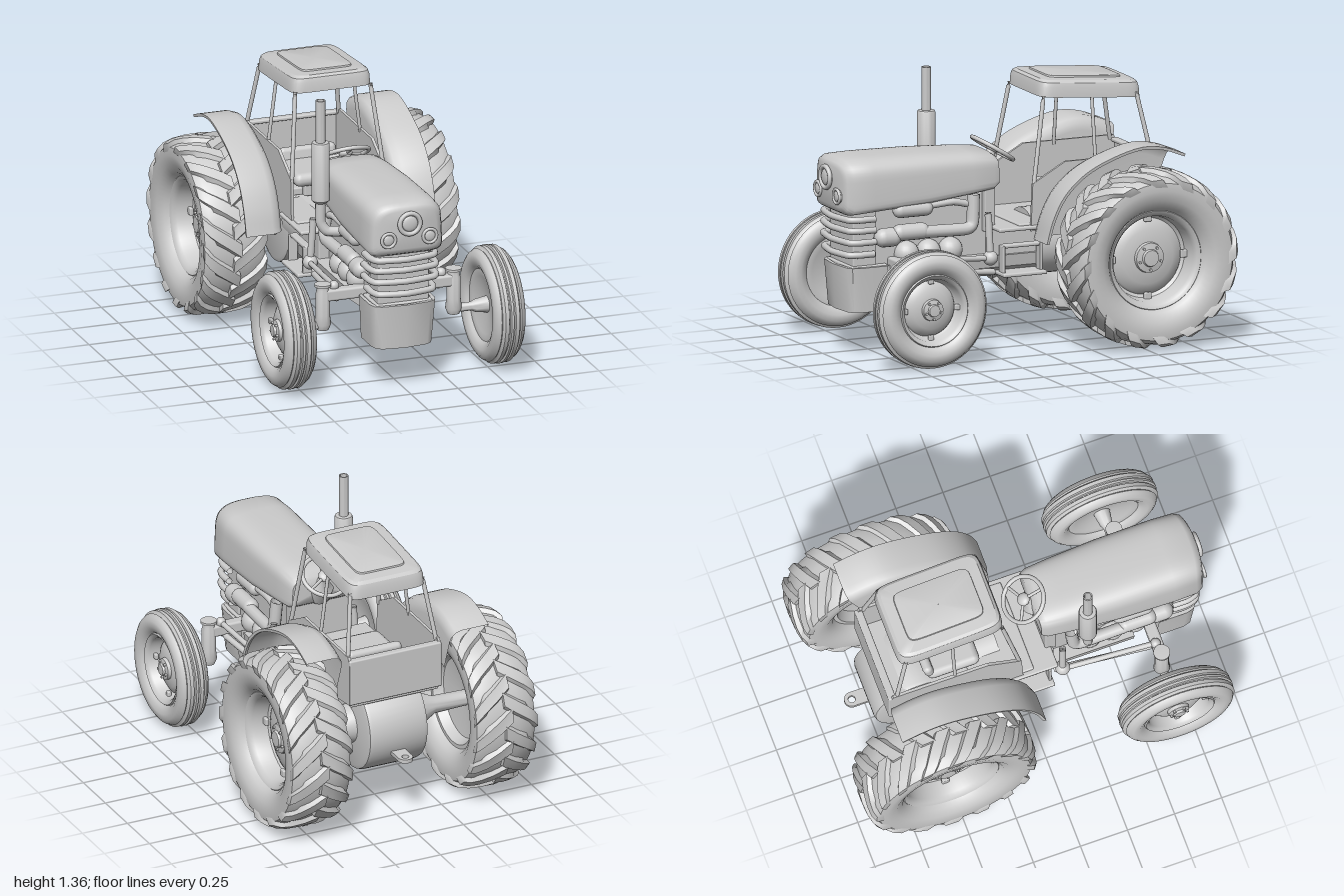
import * as THREE from 'three';
import { toCreasedNormals } from 'three/addons/utils/BufferGeometryUtils.js';
import { RoundedBoxGeometry } from 'three/addons/geometries/RoundedBoxGeometry.js';

const solid = new THREE.MeshStandardMaterial({ color: 0xcccccc });
const sheet = new THREE.MeshStandardMaterial({ color: 0xcccccc, side: THREE.DoubleSide });
const V = (x, y, z) => new THREE.Vector3(x, y, z);

function add(parent, name, geo, pos = [0, 0, 0], rot = [0, 0, 0], mat = solid) {
  const m = new THREE.Mesh(geo, mat);
  m.name = name;
  m.position.set(...pos);
  m.rotation.set(...rot);
  parent.add(m);
  return m;
}
const box = (p, name, size, pos, r = 0.008, rot) =>
  add(p, name, new RoundedBoxGeometry(...size, 2, r), pos, rot);
const ball = (p, name, r, pos) => add(p, name, new THREE.SphereGeometry(r, 20, 14), pos);
const tube = (p, name, pts, r, closed = false) => {
  const curve = new THREE.CatmullRomCurve3(pts.map(q => V(...q)), closed, 'catmullrom', 0.3);
  return add(p, name, new THREE.TubeGeometry(curve, pts.length * 8, r, 12, closed), [0, 0, 0], [0, 0, 0], sheet);
};
const lathe = (p, name, pts, pos, rot, seg = 56) => add(p, name,
  toCreasedNormals(new THREE.LatheGeometry(pts.map(q => new THREE.Vector2(...q)), seg), 0.7), pos, rot, sheet);

// Skin over rows of points; wrap joins the last point of a row to the first
function loft(rows, wrap, crease = 0.7) {
  const n = rows[0].length, pos = [], idx = [];
  rows.forEach(r => r.forEach(v => pos.push(v.x, v.y, v.z)));
  for (let i = 0; i < rows.length - 1; i++)
    for (let j = 0; j < (wrap ? n : n - 1); j++) {
      const a = i * n + j, b = i * n + (j + 1) % n;
      idx.push(a, b, a + n, b, b + n, a + n);
    }
  const g = new THREE.BufferGeometry();
  g.setAttribute('position', new THREE.Float32BufferAttribute(pos, 3));
  g.setIndex(idx);
  return toCreasedNormals(g, crease);
}
// Rounded rectangle as [u, v] points; p and q set how square the upper and lower corners are
function ring(hu, hv, p, q = p, n = 48) {
  return Array.from({ length: n }, (_, i) => {
    const a = (i + 0.5) / n * Math.PI * 2, c = Math.cos(a), s = Math.sin(a), e = 2 / (s > 0 ? p : q);
    return [hu * Math.sign(c) * Math.abs(c) ** e, hv * Math.sign(s) * Math.abs(s) ** e];
  });
}

// Dished rim with hub, tabs and bolts; axis is local y, outward is +y
function rim(w, r, depth) {
  lathe(w, 'rim', [[0, 0.03], [r * 0.3, 0.028], [r * 0.55, 0.02], [r * 0.74, 0], [r * 0.78, -0.012], [r * 0.84, 0],
    [r * 0.88, depth * 0.8], [r * 0.93, depth], [r, depth + 0.008], [r * 1.05, depth - 0.005], [r * 1.02, -depth], [r * 0.92, -depth],
    [r * 0.82, -0.05], [r * 0.3, -0.03], [0, -0.03]]);
  lathe(w, 'hub', [[r * 0.32, 0.02], [r * 0.3, 0.045], [r * 0.18, 0.05], [r * 0.16, 0.062], [0, 0.064]], [0, 0, 0], [0, 0, 0], 28);
  for (let i = 0; i < 5; i++) {
    const a = i * Math.PI * 0.4;
    add(w, 'wheelBolt', new THREE.CylinderGeometry(0.007, 0.007, 0.015, 8),
      [Math.cos(a) * r * 0.24, 0.05, Math.sin(a) * r * 0.24]);
  }
  for (let i = 0; i < 4; i++) {
    const a = i * Math.PI / 2;
    box(w, 'rimTab', [r * 0.16, 0.02, r * 0.16], [Math.cos(a) * r * 0.8, 0.015, Math.sin(a) * r * 0.8], 0.006, [0, -a, 0]);
  }
}

// One curved tread bar from the crown to the shoulder, on side +1 or -1
function lug(a0, side) {
  const path = [[-0.02, 0.455], [0.05, 0.454], [0.105, 0.449], [0.145, 0.438], [0.168, 0.42], [0.166, 0.385]];
  const g = new THREE.BoxGeometry(1, 1, 1, 5, 1, 1), p = g.attributes.position;
  for (let i = 0; i < p.count; i++) {
    const k = Math.round((p.getX(i) + 0.5) * 5), top = p.getY(i) > 0, [h, r] = path[k];
    const a = a0 + 0.42 * (k / 5) ** 0.8 + p.getZ(i) * side * (top ? 0.15 : 0.26);
    const rr = top ? r : r - 0.035, hh = top ? h : h - (k > 2 ? 0.025 : 0);
    p.setXYZ(i, Math.cos(a) * rr, hh * side, Math.sin(a) * rr);
  }
  return toCreasedNormals(g, 0.6);
}

function rearWheel() {
  const w = new THREE.Group();
  w.name = 'rearWheel';
  lathe(w, 'rearTyre', [[0.25, 0.1], [0.268, 0.13], [0.31, 0.155], [0.36, 0.165], [0.4, 0.16], [0.42, 0.13], [0.432, 0.06], [0.434, 0],
    [0.432, -0.06], [0.42, -0.13], [0.4, -0.16], [0.36, -0.165], [0.31, -0.155], [0.268, -0.13], [0.25, -0.1]]);
  for (let i = 0; i < 16; i++) {
    const a = i / 16 * Math.PI * 2;
    add(w, 'treadBar', lug(a, 1), [0, 0, 0], [0, 0, 0], sheet);
    add(w, 'treadBar', lug(a + Math.PI / 16, -1), [0, 0, 0], [0, 0, 0], sheet);
  }
  rim(w, 0.25, 0.1);
  w.position.set(0.512, 0.456, -0.545);
  w.rotation.z = -Math.PI / 2;
  return w;
}

function frontWheel() {
  const w = new THREE.Group();
  w.name = 'frontWheel';
  const half = [[0.18, 0.05], [0.195, 0.068], [0.225, 0.083], [0.255, 0.082], [0.275, 0.068], [0.285, 0.053], [0.28, 0.047],
    [0.285, 0.042], [0.297, 0.037], [0.297, 0.018], [0.288, 0.014], [0.288, 0.009], [0.3, 0.006]];
  lathe(w, 'frontTyre', [...half, ...half.map(([r, y]) => [r, -y]).reverse()]);
  rim(w, 0.18, 0.055);
  w.position.set(0.555, 0.303, 0.67);
  w.rotation.z = -Math.PI / 2;
  return w;
}

// Mudguard: a curved strip with rounded inner shoulder and side wall
function fender(p) {
  const curve = new THREE.CatmullRomCurve3([[0.56, 0], [0.68, -0.035], [0.8, -0.1], [0.9, -0.21], [0.97, -0.36],
    [1.012, -0.53], [1.0, -0.65], [0.958, -0.765]].map(q => V(0, ...q)));
  const section = [[0.49, 0.015], [0.503, 0.015], [0.505, 0], [0.36, 0], [0.325, 0.012], [0.306, 0.035], [0.3, 0.07], [0.3, 0.25]];
  const rows = [];
  for (let i = 0; i <= 28; i++) {
    const c = curve.getPoint(i / 28), t = curve.getTangent(i / 28);
    rows.push(section.map(([x, d]) => V(x, Math.max(0.56, c.y + t.z * d), Math.max(-0.765, c.z - t.y * d))));
  }
  add(p, 'fender', loft(rows, false), [0, 0, 0], [0, 0, 0], sheet);
}

// Everything that appears on both sides, made for +x
function sideParts() {
  const s = new THREE.Group();
  s.name = 'sideParts';
  s.add(rearWheel(), frontWheel());
  fender(s);
  lathe(s, 'rearAxle', [[0.1, 0.16], [0.085, 0.22], [0.045, 0.3], [0.04, 0.48]], [0, 0.456, -0.545], [0, 0, -Math.PI / 2], 28);
  // Front axle, kingpin and steering link
  box(s, 'frontAxleBeam', [0.34, 0.06, 0.06], [0.18, 0.46, 0.67], 0.012);
  lathe(s, 'kingpin', [[0, 0.27], [0.03, 0.28], [0.042, 0.31], [0.036, 0.36], [0.036, 0.47], [0.03, 0.49], [0.03, 0.505], [0.042, 0.508], [0.042, 0.52], [0, 0.522]], [0.348, 0, 0.67], [0, 0, 0], 24);
  lathe(s, 'wheelSpindle', [[0.022, 0.34], [0.022, 0.44], [0.032, 0.46], [0.045, 0.54]], [0, 0.305, 0.67], [0, 0, -Math.PI / 2], 20);
  tube(s, 'steeringLink', [[0.285, 0.5, 0.66], [0.24, 0.46, 0.19]], 0.014);
  tube(s, 'radiusRod', [[0.27, 0.43, 0.66], [0.2, 0.38, 0.15]], 0.016);
  ball(s, 'linkJoint', 0.026, [0.285, 0.5, 0.66]);
  ball(s, 'linkJoint', 0.038, [0.235, 0.46, 0.185]);
  tube(s, 'steeringDropArm', [[0.22, 0.69, 0.19], [0.235, 0.46, 0.185]], 0.018);
  // Engine side plumbing
  const can = (name, r, len, pos) => add(s, name, new THREE.CapsuleGeometry(r, len, 6, 18), pos, [Math.PI / 2, 0, 0]);
  can('upperCanister', 0.038, 0.14, [0.165, 0.73, 0.58]);
  can('lowerCanister', 0.042, 0.12, [0.18, 0.62, 0.6]);
  can('pump', 0.048, 0.05, [0.17, 0.6, 0.72]);
  tube(s, 'bentPipe', [[0.19, 0.615, 0.53], [0.19, 0.61, 0.3], [0.185, 0.64, 0.26], [0.175, 0.78, 0.25]], 0.032);
  tube(s, 'upperPipe', [[0.165, 0.74, 0.5], [0.17, 0.75, 0.36], [0.17, 0.73, 0.27]], 0.018);
  for (const z of [0.36, 0.48, 0.6]) ball(s, 'engineCover', 0.065, [0.13, 0.5, z]);
  // Cab wall, step and pillars
  const wall = new THREE.Shape([[0.03, 0.58], [0.04, 0.82], [0.22, 0.92], [0.72, 0.92], [0.74, 0.88], [0.74, 0.66], [0.3, 0.6]]
    .map(q => new THREE.Vector2(...q)));
  add(s, 'cabWall', new THREE.ExtrudeGeometry(wall, { depth: 0.015, bevelEnabled: false }), [0.24, 0, 0], [0, Math.PI / 2, 0]);
  box(s, 'stepPlate', [0.12, 0.02, 0.24], [0.22, 0.37, 0.01]);
  box(s, 'stepRail', [0.04, 0.02, 0.22], [0.22, 0.51, 0.01]);
  for (const z of [0.115, -0.09]) box(s, 'stepBracket', [0.05, 0.15, 0.015], [0.225, 0.44, z], 0.005);
  tube(s, 'frontPillar', [[0.2, 1.25, -0.125], [0.245, 0.81, -0.05]], 0.011);
  tube(s, 'middlePillar', [[0.2, 1.25, -0.39], [0.245, 0.9, -0.39]], 0.009);
  tube(s, 'rearPillar', [[0.2, 1.23, -0.635], [0.245, 0.9, -0.7]], 0.011);
  return s;
}

function lamp(p, r, pos) {
  add(p, 'lampRing', new THREE.TorusGeometry(r, r * 0.22, 12, 32), pos);
  add(p, 'lampBody', new THREE.CylinderGeometry(r, r * 1.1, 0.04, 32), [pos[0], pos[1], pos[2] - 0.02], [Math.PI / 2, 0, 0]);
  add(p, 'lampLens', new THREE.SphereGeometry(r * 0.75, 24, 14), pos).scale.z = 0.3;
}

export function createModel() {
  const t = new THREE.Group();
  t.name = 'tractor';
  const left = sideParts(), right = sideParts();
  right.scale.x = -1;
  t.add(left, right);

  // Hood: z, half width, bottom, top; the front rows bow back towards the sides
  const hood = [[0.978, 0.001, 0.86, 0.87], [0.976, 0.15, 0.765, 0.965], [0.968, 0.178, 0.74, 0.987], [0.94, 0.193, 0.724, 1.002], [0.8, 0.198, 0.732, 1.004],
    [0.5, 0.195, 0.75, 0.998], [0.25, 0.182, 0.775, 0.985], [0.13, 0.172, 0.79, 0.975], [0.1, 0.16, 0.81, 0.955], [0.09, 0.001, 0.88, 0.89]];
  add(t, 'hood', loft(hood.map(([z, w, b, h]) => ring(w, (h - b) / 2, 3.6, 9).map(([x, y]) =>
    V(x * (1 - 0.06 * y / (h - b)), (h + b) / 2 + y, z - (z > 0.9 ? 0.7 * x * x : 0)))), true, 0.9), [0, 0, 0], [0, 0, 0], sheet);
  lamp(t, 0.054, [0, 0.9, 0.985]);
  for (const x of [-0.11, 0.11]) lamp(t, 0.036, [x, 0.82, 0.975]);

  // Grille core, wrap-around bars and lower front apron
  box(t, 'radiator', [0.27, 0.3, 0.13], [0, 0.59, 0.83]);
  for (const [y, w] of [[0.7, 0.17], [0.645, 0.175], [0.585, 0.175], [0.52, 0.16]])
    tube(t, 'grilleBar', [[-w, y, 0.79], [-w, y, 0.87], [-w * 0.85, y, 0.925], [0, y, 0.95], [w * 0.85, y, 0.925], [w, y, 0.87], [w, y, 0.79]], 0.017);
  const apron = [[0.225, 0.14], [0.225, 0.157], [0.455, 0.173], [0.455, 0.155], [0.225, 0.14]].map(([y, w]) =>
    [[-1, 0.72], [-1, 0.87], [-0.93, 0.91], [-0.75, 0.93], [0, 0.945], [0.75, 0.93], [0.93, 0.91], [1, 0.87], [1, 0.72]]
      .map(([u, z]) => V(u * w, y, z - (0.173 - w))));
  add(t, 'frontApron', loft(apron, false), [0, 0, 0], [0, 0, 0], sheet);
  box(t, 'apronTop', [0.3, 0.02, 0.2], [0, 0.45, 0.81]);

  // Engine, belly hull and bulkhead
  box(t, 'engineBlock', [0.25, 0.4, 0.66], [0, 0.59, 0.45], 0.02);
  const hull = [[-0.2, 0.46], [-0.19, 0.4], [-0.12, 0.345], [0.12, 0.345], [0.19, 0.4], [0.2, 0.46]];
  add(t, 'bellyHull', new THREE.ExtrudeGeometry(new THREE.Shape(hull.map(q => new THREE.Vector2(...q))),
    { depth: 0.7, bevelEnabled: false }), [0, 0, -0.12]);
  box(t, 'bulkhead', [0.32, 0.25, 0.06], [0, 0.7, 0.15]);
  box(t, 'floorBase', [0.36, 0.2, 0.28], [0, 0.5, 0.02]);
  box(t, 'floorPlate', [0.54, 0.02, 0.32], [0, 0.6, -0.01]);

  // Gearbox, rear axle drum and hitch eye
  lathe(t, 'gearbox', [[0.17, -0.4], [0.17, -0.1], [0.001, -0.1]], [0, 0.48, 0], [Math.PI / 2, 0, 0], 32);
  lathe(t, 'axleDrum', [[0.001, -0.165], [0.215, -0.165], [0.234, -0.158], [0.24, -0.14], [0.24, 0.14], [0.234, 0.158], [0.215, 0.165], [0.001, 0.165]],
    [0, 0.456, -0.545], [0, 0, Math.PI / 2], 48);
  const eye = new THREE.Shape();
  eye.moveTo(-0.038, 0);
  eye.lineTo(-0.038, 0.135);
  eye.absarc(0, 0.135, 0.038, Math.PI, 0, true);
  eye.lineTo(0.038, 0);
  eye.holes.push(new THREE.Path().absarc(0, 0.135, 0.018, 0, Math.PI * 2));
  add(t, 'hitchEye', new THREE.ExtrudeGeometry(eye, { depth: 0.02, bevelEnabled: false }), [0, 0.35, -0.715], [-Math.PI / 2, 0, 0]);

  // Cab tub and seat
  box(t, 'cabBack', [0.51, 0.24, 0.02], [0, 0.78, -0.735]);
  box(t, 'cabRail', [0.51, 0.02, 0.04], [0, 0.895, -0.725]);
  box(t, 'cabDeck', [0.49, 0.04, 0.44], [0, 0.66, -0.51]);
  box(t, 'cabFloor', [0.49, 0.02, 0.36], [0, 0.61, -0.15]);
  box(t, 'seatBase', [0.2, 0.08, 0.2], [0, 0.68, -0.36]);
  box(t, 'seatCushion', [0.32, 0.07, 0.28], [0, 0.735, -0.36], 0.034);
  box(t, 'seatBack', [0.3, 0.09, 0.05], [0, 0.78, -0.49], 0.024, [-0.2, 0, 0]);

  // Roof with skirt and raised panel: inset, height
  const roof = [[0.012, -0.085], [0, -0.085], [0.003, -0.035], [0.01, -0.012], [0.025, 0], [0.078, 0.004], [0.08, 0.012], [0.086, 0.014], [0.214, 0.014]];
  add(t, 'roof', loft(roof.map(([d, y]) => ring(0.215 - d, (0.28 - d) * (d > 0.2 ? 0.01 : 1), 9).map(([x, z]) =>
    V(x, 1.308 + y + z * 0.08, -0.39 + z))), true, 0.5), [0, 0, 0], [0, 0, 0], sheet);

  // Steering wheel and column
  const wheel = new THREE.Group();
  wheel.name = 'steeringWheel';
  add(wheel, 'wheelRim', new THREE.TorusGeometry(0.117, 0.011, 12, 48));
  add(wheel, 'wheelHub', new THREE.SphereGeometry(0.034, 20, 12)).scale.z = 0.6;
  for (let i = 0; i < 3; i++) {
    const a = Math.PI / 2 + i * Math.PI * 2 / 3;
    tube(wheel, 'wheelSpoke', [[0, 0, 0], [Math.cos(a) * 0.115, Math.sin(a) * 0.115, 0]], 0.008);
  }
  lathe(wheel, 'steeringColumn', [[0.02, 0], [0.03, -0.05], [0.065, -0.09], [0.065, -0.16]], [0, 0, 0], [Math.PI / 2, 0, 0], 24);
  wheel.position.set(0, 0.965, 0.062);
  wheel.rotation.set(-1.01, Math.PI, 0, 'YXZ');
  t.add(wheel);

  // Exhaust stack
  lathe(t, 'exhaustStack', [[0.001, 0.82], [0.032, 0.82], [0.046, 0.835], [0.046, 1.13], [0.042, 1.138], [0.024, 1.14], [0.024, 1.36], [0.018, 1.36], [0.018, 1.2]],
    [-0.23, 0, 0.32], [0, 0, 0], 28);
  tube(t, 'exhaustElbow', [[-0.23, 0.84, 0.32], [-0.23, 0.72, 0.32], [-0.2, 0.67, 0.33], [-0.12, 0.66, 0.34]], 0.026);
  return t;
}
